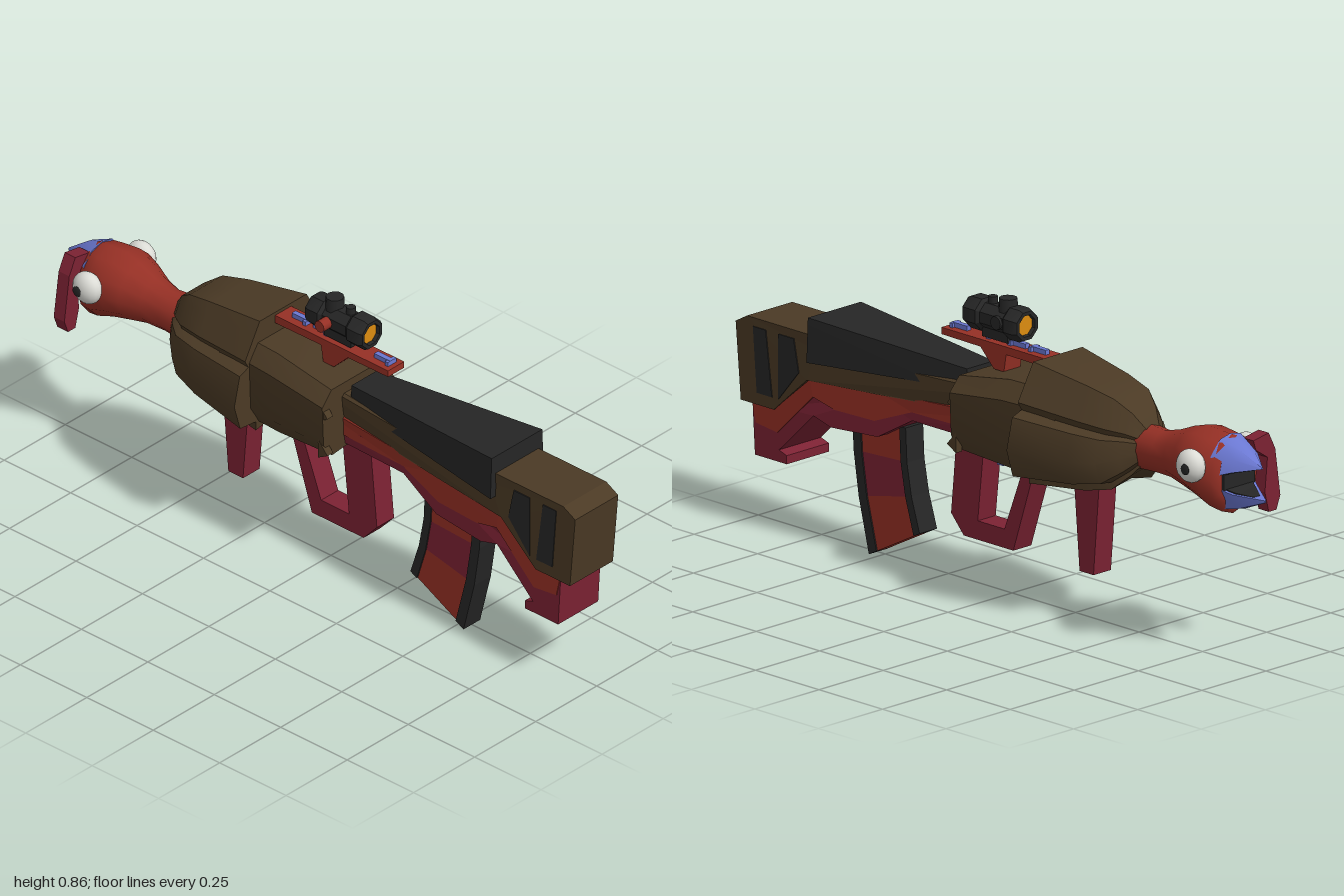
import * as THREE from 'three';
import { toCreasedNormals } from 'three/addons/utils/BufferGeometryUtils.js';

const mat = (name, color) => new THREE.MeshStandardMaterial({ name, color });

// Extrudes a side outline of [z, y] points to a given half width; taper(z) scales x.
function sideExtrude(points, halfWidth, { hole, taper } = {}) {
  const toV = ([z, y]) => new THREE.Vector2(-z, y);
  const shape = new THREE.Shape(points.map(toV));
  if (hole) shape.holes.push(new THREE.Path(hole.map(toV)));
  const geo = new THREE.ExtrudeGeometry(shape, { depth: 2 * halfWidth, bevelEnabled: false });
  geo.translate(0, 0, -halfWidth).rotateY(Math.PI / 2);
  if (taper) {
    const p = geo.attributes.position;
    for (let i = 0; i < p.count; i++) p.setX(i, p.getX(i) * taper(p.getZ(i)));
    geo.computeVertexNormals();
  }
  return geo;
}

// Lofts a mirrored half profile (bottom to top, in 0..1) through rings [z, halfWidth, yLow, yHigh], z falling.
function loft(half, rings, crease = 0.6) {
  const profile = [...half, ...half.filter(p => p[0] > 0).map(([x, y]) => [-x, y]).reverse()];
  const n = profile.length, pos = [], idx = [];
  for (const [z, w, y0, y1] of rings)
    for (const [x, y] of profile) pos.push(x * w, y0 + y * (y1 - y0), z);
  for (let r = 0; r < rings.length - 1; r++)
    for (let j = 0; j < n; j++) {
      const a = r * n + j, b = r * n + (j + 1) % n;
      idx.push(a, a + n, b, b, a + n, b + n);
    }
  const last = (rings.length - 1) * n;
  for (let j = 1; j < n - 1; j++) idx.push(0, j, j + 1, last, last + j + 1, last + j);
  const geo = new THREE.BufferGeometry();
  geo.setAttribute('position', new THREE.Float32BufferAttribute(pos, 3));
  geo.setIndex(idx);
  return toCreasedNormals(geo, crease);
}

export function createModel() {
  const brown = mat('feather brown', 0x4b3a25);
  const rust = mat('rust red', 0x963025);
  const crimson = mat('crimson', 0x7c2233);
  const black = mat('black', 0x262626);
  const blue = mat('beak blue', 0x6b78d2);
  const white = mat('eye white', 0xdcdcd6);
  const orange = mat('lens orange', 0xdc8c10);

  const model = new THREE.Group();
  model.name = 'birdRifle';
  const add = (name, geo, material, x = 0, y = 0, z = 0) => {
    const mesh = new THREE.Mesh(geo, material);
    mesh.name = name;
    mesh.position.set(x, y, z);
    model.add(mesh);
    return mesh;
  };

  // Stock: brown top, rust stripe and crimson underside, narrowing forward
  const taper = z => 0.62 + 0.38 * THREE.MathUtils.clamp((z - 0.1) / 0.6, 0, 1);
  add('stock', sideExtrude([[1, 0.585], [0.955, 0.61], [0.7, 0.61], [0.68, 0.57], [0.1, 0.6], [-0.1, 0.6],
    [-0.1, 0.52], [0.1, 0.515], [0.46, 0.49], [0.72, 0.475], [0.85, 0.36], [0.98, 0.36]], 0.088, { taper }), brown);
  add('stockStripe', sideExtrude([[0.94, 0.37], [0.84, 0.37], [0.71, 0.48], [0.46, 0.5], [0.1, 0.53], [-0.1, 0.53],
    [-0.1, 0.465], [0.33, 0.465], [0.47, 0.41], [0.62, 0.41], [0.7, 0.43], [0.84, 0.295], [0.925, 0.305]], 0.0845, { taper }), rust);
  add('stockUnderside', sideExtrude([[0.94, 0.37], [0.84, 0.37], [0.71, 0.47], [0.46, 0.48], [0.1, 0.5], [-0.12, 0.5],
    [-0.12, 0.41], [0.1, 0.435], [0.33, 0.44], [0.46, 0.365], [0.635, 0.355], [0.7, 0.375], [0.835, 0.245],
    [0.805, 0.235], [0.805, 0.21], [0.93, 0.21]], 0.082, { taper }), crimson);
  add('cheekRest', loft([[0, 0], [1, 0], [0.95, 1], [0, 1]],
    [[0.7, 0.109, 0.535, 0.665], [0.125, 0.055, 0.575, 0.635]]), black);

  // Slotted vents on both sides of the stock
  const vents = [
    [[0.93, 0.585], [0.88, 0.585], [0.855, 0.395], [0.915, 0.395]],
    [[0.83, 0.585], [0.77, 0.585], [0.75, 0.49], [0.83, 0.395]]];
  for (const s of [1, -1])
    for (const v of vents) add('stockVent', sideExtrude(v, 0.002), black, s * 0.0885);

  // Curved magazine: black front and rear strips with coloured bands between
  const rows = [[0.595, 0.39, 0.385, 0.4], [0.59, 0.29, 0.38, 0.3], [0.57, 0.16, 0.362, 0.205], [0.53, 0, 0.33, 0.105]];
  const across = (r, t) => [r[0] + (r[2] - r[0]) * t, r[1] + (r[3] - r[1]) * t];
  const bands = [rust, crimson, rust];
  for (let i = 0; i < 3; i++)
    for (const [t0, t1, m, w] of [[0, 0.15, black, 0.034], [0.15, 0.88, bands[i], 0.03], [0.88, 1, black, 0.034]])
      add('magazine', sideExtrude([across(rows[i], t0), across(rows[i], t1),
        across(rows[i + 1], t1), across(rows[i + 1], t0)], w), m);

  // Grip loop, trigger and front grip
  add('gripLoop', sideExtrude([[0.18, 0.46], [0.205, 0.195], [0.155, 0.14], [-0.04, 0.14], [-0.135, 0.43], [-0.135, 0.46]],
    0.035, { hole: [[0.075, 0.43], [0.1, 0.195], [-0.005, 0.195], [-0.095, 0.43]] }), crimson);
  add('trigger', sideExtrude([[0.045, 0.45], [0.04, 0.37], [0.015, 0.37], [0.005, 0.45]], 0.02), blue);
  add('frontGrip', sideExtrude([[-0.275, 0.44], [-0.3, 0.14], [-0.355, 0.14], [-0.38, 0.44]], 0.034), crimson);

  // Feathered body: rear section, then the winged shell
  add('rearBody', loft([[0, 0.05], [0.72, 0], [0.96, 0.22], [1, 0.8], [0.74, 1], [0, 1]],
    [[0.1, 0.145, 0.42, 0.635], [-0.1, 0.145, 0.41, 0.668], [-0.3, 0.13, 0.41, 0.668]]), brown);
  add('wingShell', loft([[0, 0.06], [0.56, 0], [0.56, 0.08], [0.88, 0.1], [1, 0.33], [0.89, 0.59],
    [0.71, 0.63], [0.78, 0.7], [0.58, 0.9], [0.48, 1], [0, 1]],
    [[-0.18, 0.2, 0.385, 0.735], [-0.38, 0.165, 0.405, 0.705], [-0.47, 0.14, 0.425, 0.685],
      [-0.52, 0.095, 0.47, 0.65], [-0.56, 0.045, 0.52, 0.6]]), brown);
  // Pointed feather tips at the rear of the body
  for (const s of [1, -1])
    for (const y of [0.44, 0.56])
      add('featherTip', sideExtrude([[0.08, y + 0.04], [0.115, y], [0.08, y - 0.02]], 0.012), brown, s * 0.128);

  // Neck and head
  const oval = Array.from({ length: 7 }, (_, i) => {
    const a = i * Math.PI / 6;
    return [i % 6 ? Math.sin(a) : 0, 0.5 - 0.5 * Math.cos(a)];
  });
  add('neckAndHead', loft(oval, [[-0.49, 0.065, 0.48, 0.62], [-0.6, 0.056, 0.485, 0.61], [-0.66, 0.066, 0.485, 0.625],
    [-0.72, 0.09, 0.475, 0.65], [-0.77, 0.107, 0.465, 0.665], [-0.83, 0.105, 0.44, 0.66],
    [-0.87, 0.09, 0.43, 0.658], [-0.89, 0.075, 0.455, 0.645]], 1), rust);

  // Open beak with a dark mouth
  add('upperBeak', loft([[0, 0], [1, 0], [0.85, 0.55], [0.45, 0.92], [0, 1]],
    [[-0.86, 0.09, 0.55, 0.66], [-0.92, 0.055, 0.57, 0.635], [-0.985, 0.003, 0.583, 0.588]]), blue);
  add('lowerBeak', loft([[0, 0], [0.55, 0.1], [1, 1], [0, 1]],
    [[-0.86, 0.08, 0.44, 0.525], [-0.92, 0.05, 0.455, 0.505], [-0.998, 0.003, 0.488, 0.495]]), blue);
  const slab = [[0, 0], [1, 0], [1, 1], [0, 1]];
  add('mouth', loft(slab, [[-0.86, 0.07, 0.5, 0.58], [-0.896, 0.06, 0.51, 0.57]]), black);
  add('mouthRoof', loft(slab, [[-0.88, 0.065, 0.554, 0.559], [-0.92, 0.044, 0.567, 0.572], [-0.965, 0.01, 0.577, 0.582]]), black);
  add('mouthFloor', loft(slab, [[-0.88, 0.06, 0.516, 0.521], [-0.92, 0.04, 0.503, 0.508], [-0.965, 0.012, 0.497, 0.5]]), black);

  // Snood draped over one side of the beak
  const snood = new THREE.Shape([[-0.04, 0.64], [-0.1, 0.65], [-0.125, 0.6], [-0.145, 0.46], [-0.13, 0.42],
    [-0.1, 0.42], [-0.085, 0.48], [-0.095, 0.58], [-0.05, 0.61]].map(p => new THREE.Vector2(...p)));
  add('snood', new THREE.ExtrudeGeometry(snood, { depth: 0.04, bevelEnabled: false }), crimson, 0, 0, -0.91);

  // Bulging eyes
  for (const s of [1, -1]) {
    add('eye', new THREE.SphereGeometry(0.048, 16, 12), white, s * 0.11, 0.58, -0.815).scale.x = 0.72;
    add('pupil', new THREE.SphereGeometry(0.016, 10, 8), black, s * 0.143, 0.578, -0.825).scale.x = 0.25;
  }

  // Sight rail with lugs
  add('rail', sideExtrude([[0.245, 0.725], [-0.21, 0.725], [-0.21, 0.7], [0.245, 0.705]], 0.033), rust);
  add('railRiser', sideExtrude([[0.1, 0.71], [-0.01, 0.71], [0, 0.65], [0.04, 0.65]], 0.032), rust);
  for (const z of [0.2, 0.055, -0.03, -0.11]) {
    add('railLug', new THREE.BoxGeometry(0.016, 0.018, 0.06), blue, 0, 0.73, z);
    add('railLugBar', new THREE.BoxGeometry(0.034, 0.016, 0.012), blue, 0, 0.73, z + 0.024);
  }

  // Scope with lenses and adjustment knobs
  const tube = [[0.03, -0.045], [0.033, -0.06], [0.044, -0.06], [0.05, -0.048], [0.05, -0.01], [0.041, 0],
    [0.041, 0.09], [0.05, 0.1], [0.05, 0.143], [0.044, 0.155], [0.033, 0.155], [0.03, 0.14]];
  const scope = new THREE.LatheGeometry(tube.map(p => new THREE.Vector2(...p)), 8, Math.PI / 8).rotateX(Math.PI / 2);
  add('scope', toCreasedNormals(scope, 0.5), black, 0, 0.79, 0);
  add('rearLens', new THREE.CircleGeometry(0.032, 12), orange, 0, 0.79, 0.144);
  add('frontLens', new THREE.CircleGeometry(0.032, 12).rotateY(Math.PI), orange, 0, 0.79, -0.049);
  add('scopeMount', new THREE.BoxGeometry(0.045, 0.03, 0.1), black, 0, 0.746, 0.045);
  add('topKnob', new THREE.CylinderGeometry(0.026, 0.028, 0.04, 10), black, 0, 0.836, 0.015);
  add('topCap', new THREE.CylinderGeometry(0.014, 0.014, 0.03, 8), black, 0, 0.833, 0.075);
  add('sideKnob', new THREE.CylinderGeometry(0.018, 0.018, 0.045, 10).rotateZ(Math.PI / 2), rust, -0.047, 0.79, 0.02);
  add('sideCap', new THREE.CylinderGeometry(0.02, 0.02, 0.02, 10).rotateZ(Math.PI / 2), black, 0.036, 0.79, 0.02);

  return model;
}
